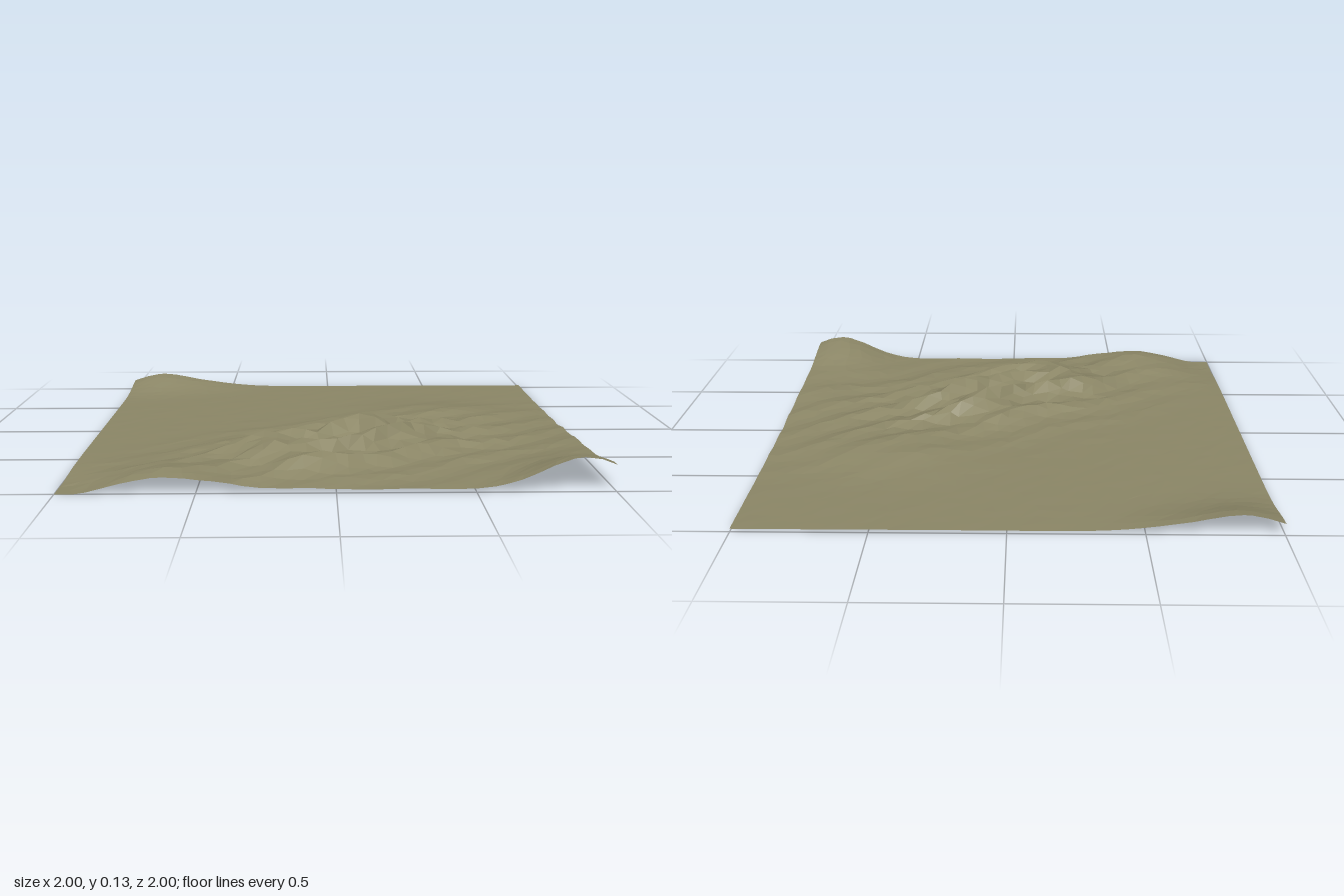
import * as THREE from 'three';

const SEGMENTS = 36;

// Hills: x, z, height, x radius, z radius
const HILLS = [
  [0.12, 0.17, 0.035, 0.14, 0.13],
  [-0.28, 0.53, 0.045, 0.13, 0.12],
  [-0.1, 0.73, 0.035, 0.16, 0.1],
  [0.28, 0.36, 0.02, 0.14, 0.1],
  [0.5, -0.28, 0.03, 0.3, 0.2],
  [-0.62, 0.93, 0.05, 0.22, 0.22],
  [0.88, 1.02, 0.105, 0.2, 0.26],
  [1.0, 0.55, 0.035, 0.25, 0.45],
  [-0.87, -1.02, 0.06, 0.17, 0.2],
  [-0.65, -1.0, 0.025, 0.2, 0.15],
];

// Repeatable random numbers
function seeded(seed) {
  return () => {
    seed = (seed * 16807) % 2147483647;
    return seed / 2147483647;
  };
}

const bell = (a, b) => Math.exp(-a * a - b * b);

// How strongly a point belongs to the diagonal ridge field
function ridgeField(x, z) {
  const along = 0.85 * x - 0.52 * z;
  const across = 0.52 * x + 0.85 * z;
  return bell((along + 0.15) / 0.6, (across - 0.36) / 0.31);
}

function heightAt(x, z) {
  const along = 0.85 * x - 0.52 * z;
  const across = 0.52 * x + 0.85 * z;
  const field = ridgeField(x, z);
  // Parallel ridges, steeper on the front right flank
  const phase = (across - 0.25 + 0.025 * Math.sin(9 * along)) * 2 * Math.PI / 0.185;
  const wave = Math.cos(phase + 0.45 * Math.sin(phase));
  let y = 0.012 + field * (0.072 + 0.024 * wave);
  // Fading ripples beyond the main ridges
  y += 0.005 * wave * bell((along - 0.25) / 0.8, (across - 0.5) / 0.55);
  for (const [hx, hz, h, rx, rz] of HILLS) y += h * bell((x - hx) / rx, (z - hz) / rz);
  // Ground falls slightly to the left front corner
  return y - 0.025 * bell((x + 1) / 0.2, (z - 1) / 0.25);
}

export function createModel() {
  const group = new THREE.Group();
  group.name = 'landscape';

  const random = seeded(4271);
  const geometry = new THREE.PlaneGeometry(2, 2, SEGMENTS, SEGMENTS).rotateX(-Math.PI / 2);
  const position = geometry.attributes.position;
  const step = 2 / SEGMENTS;

  // Scatter the inner grid points, then raise each to the terrain height
  for (let i = 0; i < position.count; i++) {
    let x = position.getX(i);
    let z = position.getZ(i);
    const jitterX = (random() - 0.5) * step * 0.55;
    const jitterZ = (random() - 0.5) * step * 0.55;
    const rough = random() - 0.5;
    if (Math.abs(x) < 0.999) x += jitterX;
    if (Math.abs(z) < 0.999) z += jitterZ;
    const y = heightAt(x, z) + rough * (0.001 + 0.016 * ridgeField(x, z));
    position.setXYZ(i, x, Math.max(y, 0), z);
  }

  // Rest the lowest point on the ground
  geometry.computeBoundingBox();
  geometry.translate(0, -geometry.boundingBox.min.y, 0);
  geometry.computeVertexNormals();

  const terrain = new THREE.Mesh(geometry, new THREE.MeshStandardMaterial({
    color: 0x8c8767,
    flatShading: true,
    side: THREE.DoubleSide,
  }));
  terrain.name = 'terrain';
  group.add(terrain);
  return group;
}
